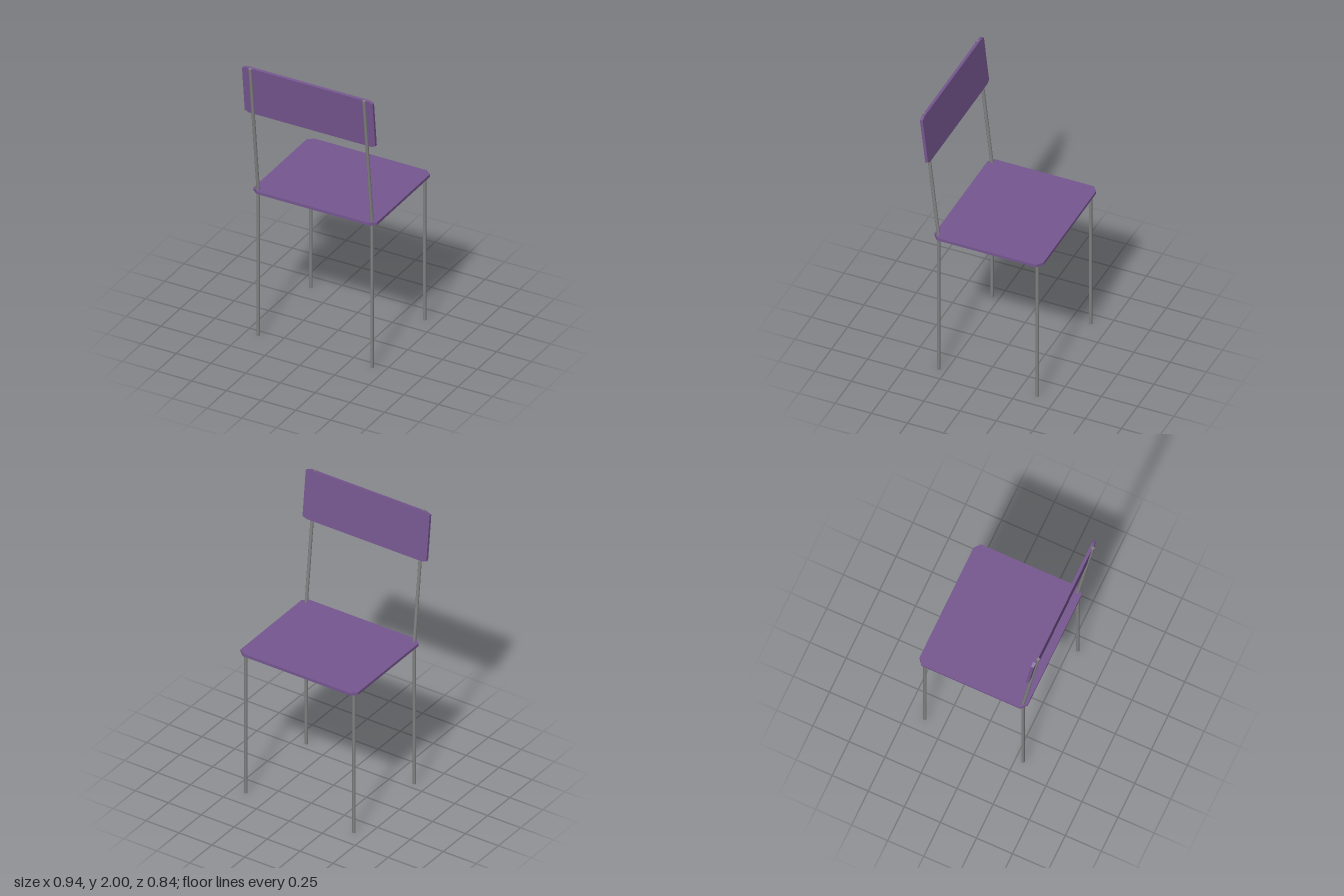
import * as THREE from 'three';

const R = 0.011;         // rod radius
const LEG_X = 0.41;
const BACK_Z = 0.3;
const FRONT_Z = -0.38;
const SEAT_Y = 1.047;
const PANEL_T = 0.02;

const purple = new THREE.MeshStandardMaterial({ color: 0x75568f });
const metal = new THREE.MeshStandardMaterial({ color: 0x808080 });

// Flat board with cut corners, extruded along its local z
function board(name, w, h, cutX, cutY) {
  const x = w / 2, y = h / 2;
  const shape = new THREE.Shape([
    [x - cutX, -y], [x, -y + cutY], [x, y - cutY], [x - cutX, y],
    [-x + cutX, y], [-x, y - cutY], [-x, -y + cutY], [-x + cutX, -y],
  ].map(([a, b]) => new THREE.Vector2(a, b)));
  const geo = new THREE.ExtrudeGeometry(shape, { depth: PANEL_T, bevelEnabled: false });
  const mesh = new THREE.Mesh(geo, purple);
  mesh.name = name;
  return mesh;
}

// Round rod between two points
function rod(name, a, b) {
  const dir = b.clone().sub(a);
  const mesh = new THREE.Mesh(new THREE.CylinderGeometry(R, R, dir.length(), 16), metal);
  mesh.position.copy(a).add(b).multiplyScalar(0.5);
  mesh.quaternion.setFromUnitVectors(new THREE.Vector3(0, 1, 0), dir.normalize());
  mesh.name = name;
  return mesh;
}

export function createModel() {
  const chair = new THREE.Group();
  chair.name = 'chair';

  // Seat board, laid flat
  const seat = board('seat', 0.89, 0.75, 0.04, 0.033);
  seat.rotation.x = -Math.PI / 2;
  seat.position.set(0, SEAT_Y, -0.045);
  chair.add(seat);

  // Backrest board, leaning with the uprights
  const bend = new THREE.Vector3(0, 1.06, BACK_Z);
  const tip = new THREE.Vector3(0, 1.998, 0.405);
  const lean = Math.atan2(tip.z - bend.z, tip.y - bend.y);
  const backrest = board('backrest', 0.94, 0.35, 0.03, 0.012);
  backrest.geometry.translate(0, 0.175, -PANEL_T);
  backrest.rotation.x = lean;
  backrest.position.set(0, 1.65, 0.365);
  chair.add(backrest);

  // Legs and uprights on both sides
  for (const [side, s] of [['left', 1], ['right', -1]]) {
    const at = (y, z) => new THREE.Vector3(s * LEG_X, y, z);
    chair.add(rod(side + 'FrontLeg', at(0, FRONT_Z), at(SEAT_Y + 0.01, FRONT_Z)));
    chair.add(rod(side + 'BackLeg', at(0, BACK_Z), at(bend.y, BACK_Z)));
    chair.add(rod(side + 'Upright', at(bend.y, bend.z), at(tip.y, tip.z)));
    const joint = new THREE.Mesh(new THREE.SphereGeometry(R, 16, 10), metal);
    joint.position.copy(at(bend.y, bend.z));
    joint.name = side + 'Bend';
    chair.add(joint);
  }
  return chair;
}
